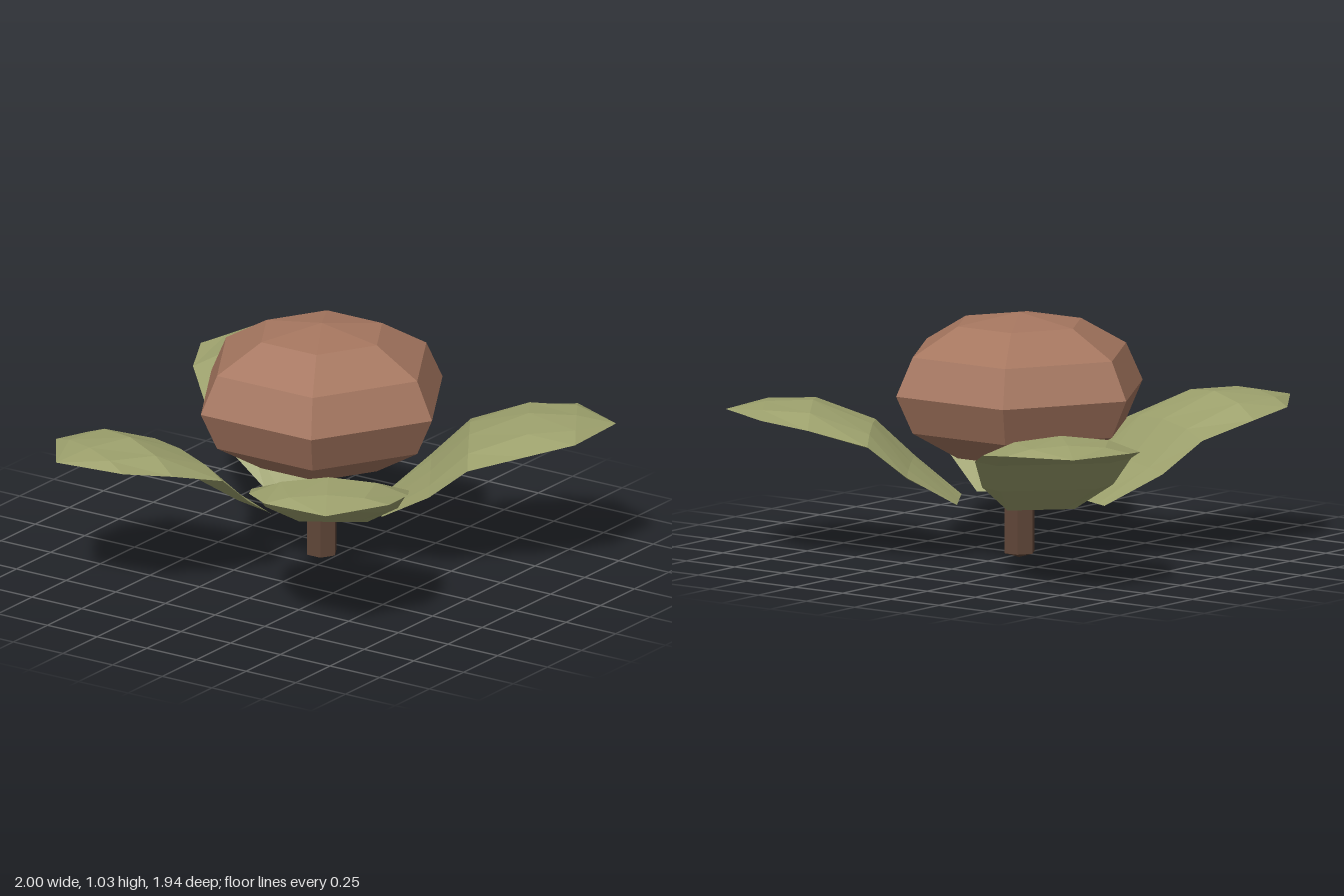
import * as THREE from 'three';

const paint = color => new THREE.MeshStandardMaterial({ color, flatShading: true });

// Cross-sections from base to tip: distance, half width, heights of rim, spine and belly
const LEAF_ROWS = [
  [0.00, 0.14, 0.235, 0.235, 0.235],
  [0.20, 0.275, 0.37, 0.39, 0.35],
  [0.36, 0.327, 0.505, 0.55, 0.485],
  [0.607, 0.33, 0.572, 0.648, 0.567],
  [0.806, 0.26, 0.6, 0.64, 0.598],
  [0.97, 0.0, 0.605, 0.605, 0.605],
];
// Ring around a section: fraction of half width, share of rise to spine, share of drop to belly
const LEAF_RING = [
  [-1, 0, 0], [-0.6, 0.7, 0], [0, 1, 0], [0.6, 0.7, 0], [1, 0, 0], [0.72, 0, 1], [-0.72, 0, 1],
];

// Thin leaf growing along +z, domed above and flatter below
function leafGeometry() {
  const positions = [], index = [], n = LEAF_RING.length, last = LEAF_ROWS.length - 2;
  for (const [z, w, rim, spine, belly] of LEAF_ROWS)
    for (const [s, up, down] of LEAF_RING)
      positions.push(s * w, rim + (spine - rim) * up + (belly - rim) * down, z);
  for (let i = 0; i <= last; i++) {
    for (let j = 0; j < n; j++) {
      const a = i * n + j, b = i * n + (j + 1) % n;
      index.push(a, a + n, b);
      if (i < last) index.push(a + n, b + n, b);
    }
  }
  const geometry = new THREE.BufferGeometry();
  geometry.setAttribute('position', new THREE.Float32BufferAttribute(positions, 3));
  geometry.setIndex(index);
  geometry.computeVertexNormals();
  return geometry;
}

export function createModel() {
  const model = new THREE.Group();
  const cx = -0.042, cz = -0.09;

  // Squashed six-sided bud
  const bud = new THREE.Mesh(new THREE.SphereGeometry(0.555, 6, 6), paint(0xa5765f));
  bud.name = 'bud';
  bud.scale.y = 0.32 / 0.555;
  bud.position.set(cx, 0.71, cz);
  model.add(bud);

  // Hexagonal stem with a shallow pointed foot
  const profile = [[0, 0], [0.067, 0.02], [0.067, 0.45]].map(p => new THREE.Vector2(...p));
  const stem = new THREE.Mesh(new THREE.LatheGeometry(profile, 6), paint(0x604638));
  stem.name = 'stem';
  stem.rotation.y = Math.PI / 6;
  stem.position.set(cx, 0, cz);
  model.add(stem);

  // Four leaves: base x, base z, growth direction x, z
  const leaf = leafGeometry();
  const green = paint(0x9ca06c);
  const leaves = [
    ['frontLeftLeaf', 0.125, 0.07, 0.54, 0.84],
    ['frontRightLeaf', -0.268, 0.08, -0.39, 0.92],
    ['backLeftLeaf', 0.18, -0.21, 0.84, -0.55],
    ['backRightLeaf', -0.245, -0.21, -0.71, -0.71],
  ];
  for (const [name, x, z, dx, dz] of leaves) {
    const mesh = new THREE.Mesh(leaf, green);
    mesh.name = name;
    mesh.position.set(x, 0, z);
    mesh.rotation.y = Math.atan2(dx, dz);
    model.add(mesh);
  }
  return model;
}
